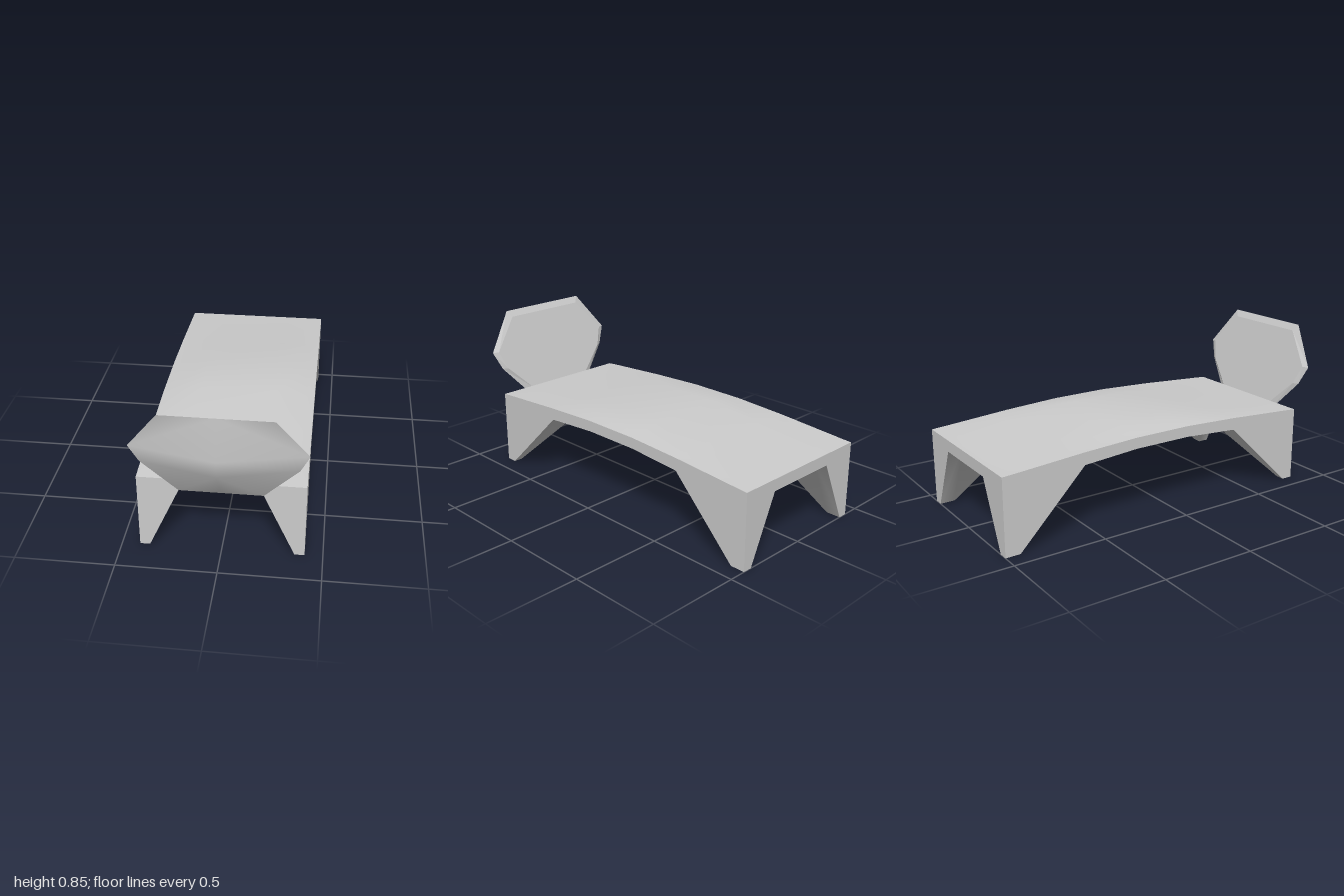
import * as THREE from 'three';

const material = new THREE.MeshStandardMaterial({ color: 0xcccccc });

// Skin a list of equally long point rows; alt(i, j) picks the other quad diagonal
function skin(name, rows, { flat = false, alt = () => false } = {}) {
  const n = rows[0].length;
  const index = [];
  for (let i = 0; i < rows.length - 1; i++) {
    for (let j = 0; j < n - 1; j++) {
      const a = i * n + j, b = a + 1, c = b + n, d = a + n;
      index.push(...(alt(i, j) ? [a, b, d, b, c, d] : [a, b, c, a, c, d]));
    }
  }
  let geometry = new THREE.BufferGeometry();
  geometry.setAttribute('position', new THREE.Float32BufferAttribute(rows.flat(2), 3));
  geometry.setIndex(index);
  if (flat) geometry = geometry.toNonIndexed();
  geometry.computeVertexNormals();
  const mesh = new THREE.Mesh(geometry, material);
  mesh.name = name;
  return mesh;
}

function createBench() {
  const bench = new THREE.Group();
  bench.name = 'bench';
  const xs = [-0.41, -0.36, -0.205, 0.205, 0.36, 0.41];
  // Stations front to back: z, top edge y, crown rise, underside y, leg y
  const stations = [
    [0.825, 0.408, 0, 0.345, 0],
    [0.765, 0.413, 0.001, 0.35, 0],
    [0.38, 0.438, 0.008, 0.372, 0.372],
    [0.07, 0.452, 0.033, 0.393, 0.393],
    [-0.25, 0.452, 0.033, 0.393, 0.393],
    [-0.555, 0.438, 0.008, 0.372, 0.372],
    [-0.92, 0.413, 0.001, 0.35, 0],
    [-1, 0.408, 0, 0.345, 0],
  ];
  const crown = (x) => Math.min(1, (0.41 - Math.abs(x)) / 0.205);
  const top = stations.map(([z, edge, rise]) => xs.map((x) => [x, edge + rise * crown(x), z]));
  const under = stations.map(([z, , , mid, leg]) =>
    xs.map((x) => [x, Math.abs(x) > 0.3 ? leg : mid, z]));
  const last = stations.length - 1;
  const column = (rows, j) => rows.map((row) => row[j]);

  bench.add(
    skin('seatTop', top),
    // Underside and inner leg faces, with the ridge of each leg on the diagonal
    skin('undersideAndLegs', under.map((row) => [...row].reverse()),
      { alt: (i, j) => (i < 3) !== (j < 3) }),
    // Flat outer walls, running down into the legs
    skin('frontWall', [under[0], top[0]]),
    skin('backWall', [top[last], under[last]]),
    skin('leftWall', [column(under, 5), column(top, 5)]),
    skin('rightWall', [column(top, 0), column(under, 0)]),
  );
  return bench;
}

function createHeadPanel() {
  const panel = new THREE.Group();
  panel.name = 'headPanel';
  // Levels from the bottom up: half width, y, z at the sides, z at the centre
  const front = [
    [0.205, 0.345, 0.825, 0.825],
    [0.375, 0.54, 0.88, 0.975],
    [0.42, 0.64, 0.905, 1],
    [0.265, 0.85, 0.965, 0.965],
  ];
  // Inset back face: half width, y, z
  const back = [
    [0.205, 0.4, 0.825],
    [0.345, 0.54, 0.865],
    [0.385, 0.64, 0.894],
    [0.24, 0.815, 0.945],
  ];
  // Closed outline, up the left side and down the right
  const outline = (levels) => {
    const left = levels.map(([w, y, z]) => [w, y, z]);
    const right = levels.map(([w, y, z]) => [-w, y, z]).reverse();
    return [...left, ...right, left[0]];
  };
  panel.add(
    skin('panelFront', front.map(([w, y, z, zc]) => [[-w, y, z], [0, y, zc], [w, y, z]]),
      { alt: (i, j) => j === 1 }),
    skin('panelBevel', [outline(back), outline(front)], { flat: true }),
    skin('panelBack', [...back].reverse().map(([w, y, z]) => [[-w, y, z], [w, y, z]]),
      { flat: true }),
  );
  return panel;
}

export function createModel() {
  const model = new THREE.Group();
  model.name = 'benchWithHeadPanel';
  model.add(createBench(), createHeadPanel());
  return model;
}
